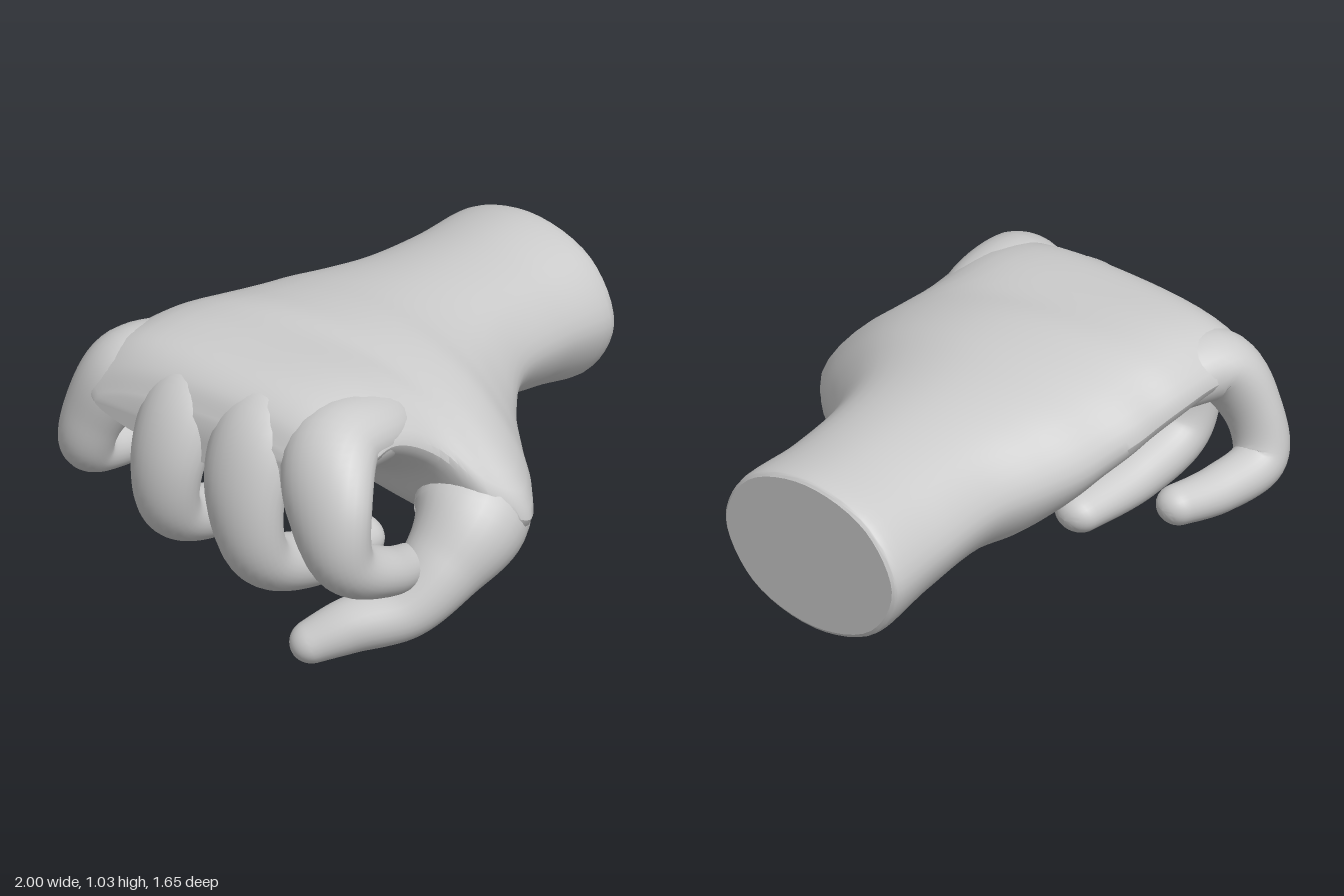
import * as THREE from 'three';
import { toCreasedNormals } from 'three/addons/utils/BufferGeometryUtils.js';

const V = (x, y, z) => new THREE.Vector3(x, y, z);
const material = new THREE.MeshStandardMaterial({ color: 0xcccccc });

// Skins a list of equal-length rings and closes both ends with fans.
function loft(rings) {
  const n = rings[0].length, pos = [], index = [];
  const centre = r => r.reduce((s, p) => s.add(p), V(0, 0, 0)).divideScalar(n);
  rings.flat().forEach(p => pos.push(p.x, p.y, p.z));
  for (let i = 0; i < rings.length - 1; i++) {
    for (let j = 0; j < n; j++) {
      const k = (j + 1) % n, a = i * n, b = a + n;
      index.push(a + j, a + k, b + k, a + j, b + k, b + j);
    }
  }
  const first = rings.length * n, last = (rings.length - 1) * n;
  for (const r of [rings[0], rings[rings.length - 1]]) pos.push(...centre(r).toArray());
  for (let j = 0; j < n; j++) {
    const k = (j + 1) % n;
    index.push(first, k, j, first + 1, last + j, last + k);
  }
  const g = new THREE.BufferGeometry();
  g.setAttribute('position', new THREE.Float32BufferAttribute(pos, 3));
  g.setIndex(index);
  return toCreasedNormals(g, 0.5);
}

// Tapered digit with a rounded tip; each point is [x, y, z, radius, sideways widening].
function digit(name, points) {
  const path = new THREE.CatmullRomCurve3(points.map(p => V(p[0], p[1], p[2])));
  const sizes = new THREE.SplineCurve(points.map(p => new THREE.Vector2(p[3], p[4])));
  const tip = path.getPoint(1), rings = [], steps = 64, sides = 28;
  for (let i = 0; i <= steps; i++) {
    const t = 1 - (1 - i / steps) ** 1.5;
    const p = path.getPoint(t), T = path.getTangent(t), size = sizes.getPoint(t);
    let r = size.x;
    const d = p.distanceTo(tip);
    if (d < r) r *= Math.sqrt(Math.max(1 - (1 - d / r) ** 2, 0.0001));
    const N = V(0, 0, 1).addScaledVector(T, -T.z).normalize();
    const B = T.clone().cross(N);
    rings.push(Array.from({ length: sides }, (_, j) => {
      const a = j / sides * Math.PI * 2;
      return p.clone().addScaledVector(N, Math.cos(a) * r * size.y).addScaledVector(B, Math.sin(a) * r);
    }));
  }
  const mesh = new THREE.Mesh(loft(rings), material);
  mesh.name = name;
  return mesh;
}

// One palm or forearm section: a closed curve through eight points.
function section([x, zB, zF, top, botB, botF, midB, midF, cB, cF]) {
  const zm = (zB + zF) / 2, h = (zF - zB) / 2;
  const ring = [
    [zF, midF],
    [zF - cF * h, top - cF * (top - midF)],
    [zm, top],
    [zB + cB * h, top - cB * (top - midB)],
    [zB, midB],
    [zB + 0.29 * h, botB + 0.29 * (midB - botB)],
    [zm, (botB + botF) / 2],
    [zF - 0.29 * h, botF + 0.29 * (midF - botF)],
  ].map(([z, y]) => V(x, y, z));
  const curve = new THREE.CatmullRomCurve3(ring, true);
  return Array.from({ length: 48 }, (_, j) => curve.getPoint(j / 48));
}

function forearmAndPalm() {
  // x, back z, front z, top, bottom back, bottom front, side heights, corner roundness
  const rows = [
    [0.975, -0.575, 0.215, 0.90, 0.32, 0.32, 0.61, 0.61, 0.29, 0.29],
    [0.96, -0.59, 0.23, 0.915, 0.305, 0.305, 0.61, 0.61, 0.29, 0.29],
    [0.7, -0.57, 0.24, 0.925, 0.36, 0.36, 0.64, 0.64, 0.29, 0.29],
    [0.4, -0.56, 0.29, 0.95, 0.41, 0.42, 0.68, 0.66, 0.28, 0.29],
    [0.2, -0.61, 0.42, 0.97, 0.40, 0.36, 0.70, 0.60, 0.27, 0.31],
    [0.05, -0.65, 0.58, 0.985, 0.42, 0.26, 0.72, 0.54, 0.25, 0.33],
    [-0.08, -0.67, 0.73, 1.00, 0.46, 0.25, 0.75, 0.50, 0.24, 0.34],
    [-0.2, -0.69, 0.815, 1.01, 0.52, 0.31, 0.78, 0.48, 0.23, 0.35],
    [-0.3, -0.69, 0.75, 1.02, 0.57, 0.41, 0.80, 0.54, 0.22, 0.33],
    [-0.42, -0.70, 0.59, 1.025, 0.63, 0.58, 0.83, 0.74, 0.22, 0.28],
    [-0.6, -0.70, 0.54, 1.03, 0.68, 0.67, 0.85, 0.84, 0.22, 0.25],
    [-0.76, -0.72, 0.55, 1.01, 0.70, 0.69, 0.84, 0.83, 0.25, 0.27],
    [-0.85, -0.69, 0.52, 0.95, 0.68, 0.67, 0.80, 0.79, 0.29, 0.29],
    [-0.9, -0.60, 0.44, 0.85, 0.68, 0.68, 0.76, 0.76, 0.29, 0.29],
  ].map(section);
  // Smooth each lengthwise line between sections, keeping the cut end crisp.
  const lines = rows[0].map((_, j) => new THREE.CatmullRomCurve3(rows.map(r => r[j])));
  const rings = Array.from({ length: 79 }, (_, i) => lines.map(l => l.getPoint(i / 78)));
  // Lean the cut end so its top edge reaches furthest out.
  for (const p of rings.flat()) if (p.x > 0.7) p.x += (p.x - 0.7) / 0.28 * 0.065 * (p.y - 0.61);
  const mesh = new THREE.Mesh(loft(rings), material);
  mesh.name = 'forearmAndPalm';
  return mesh;
}

export function createModel() {
  const hand = new THREE.Group();
  hand.name = 'hand';
  hand.add(forearmAndPalm());

  // Every digit starts thin inside the palm and swells out through its skin.
  hand.add(digit('thumb', [
    [0.02, 0.58, 0.28, 0.08, 1], [-0.13, 0.53, 0.47, 0.18, 1], [-0.26, 0.45, 0.6, 0.2, 1.05],
    [-0.42, 0.32, 0.6, 0.145, 1.1], [-0.57, 0.19, 0.54, 0.11, 1.15], [-0.72, 0.13, 0.41, 0.095, 1.1],
    [-0.87, 0.05, 0.28, 0.065, 1.15],
  ]));

  // Fingers curl down from the knuckles and back under the palm.
  hand.add(digit('indexFinger', [
    [-0.25, 0.82, 0.25, 0.05, 1], [-0.5, 0.84, 0.35, 0.12, 1.3], [-0.76, 0.845, 0.38, 0.135, 1.3],
    [-0.885, 0.67, 0.47, 0.112, 1.55], [-0.87, 0.48, 0.52, 0.11, 1.15], [-0.67, 0.37, 0.54, 0.09, 1.15],
    [-0.43, 0.31, 0.5, 0.07, 1.15],
  ]));
  hand.add(digit('middleFinger', [
    [-0.25, 0.85, 0.07, 0.05, 1], [-0.5, 0.86, 0.08, 0.13, 1.3], [-0.76, 0.85, 0.085, 0.14, 1.3],
    [-0.895, 0.64, 0.09, 0.105, 1.6], [-0.86, 0.38, 0.12, 0.105, 1.2], [-0.62, 0.265, 0.13, 0.1, 1.15],
    [-0.24, 0.24, 0.13, 0.08, 1.25],
  ]));
  hand.add(digit('ringFinger', [
    [-0.25, 0.85, -0.22, 0.05, 1], [-0.5, 0.86, -0.24, 0.13, 1.25], [-0.76, 0.85, -0.25, 0.135, 1.25],
    [-0.895, 0.65, -0.265, 0.1, 1.5], [-0.86, 0.43, -0.28, 0.1, 1.2], [-0.62, 0.33, -0.28, 0.095, 1.15],
    [-0.25, 0.29, -0.28, 0.07, 1.25],
  ]));
  hand.add(digit('littleFinger', [
    [-0.25, 0.83, -0.42, 0.05, 1], [-0.48, 0.84, -0.51, 0.11, 1.2], [-0.72, 0.84, -0.58, 0.13, 1.2],
    [-0.8, 0.66, -0.68, 0.095, 1.3], [-0.78, 0.5, -0.73, 0.093, 1.1], [-0.58, 0.45, -0.72, 0.085, 1.1],
    [-0.31, 0.46, -0.69, 0.07, 1.1],
  ]));
  return hand;
}
